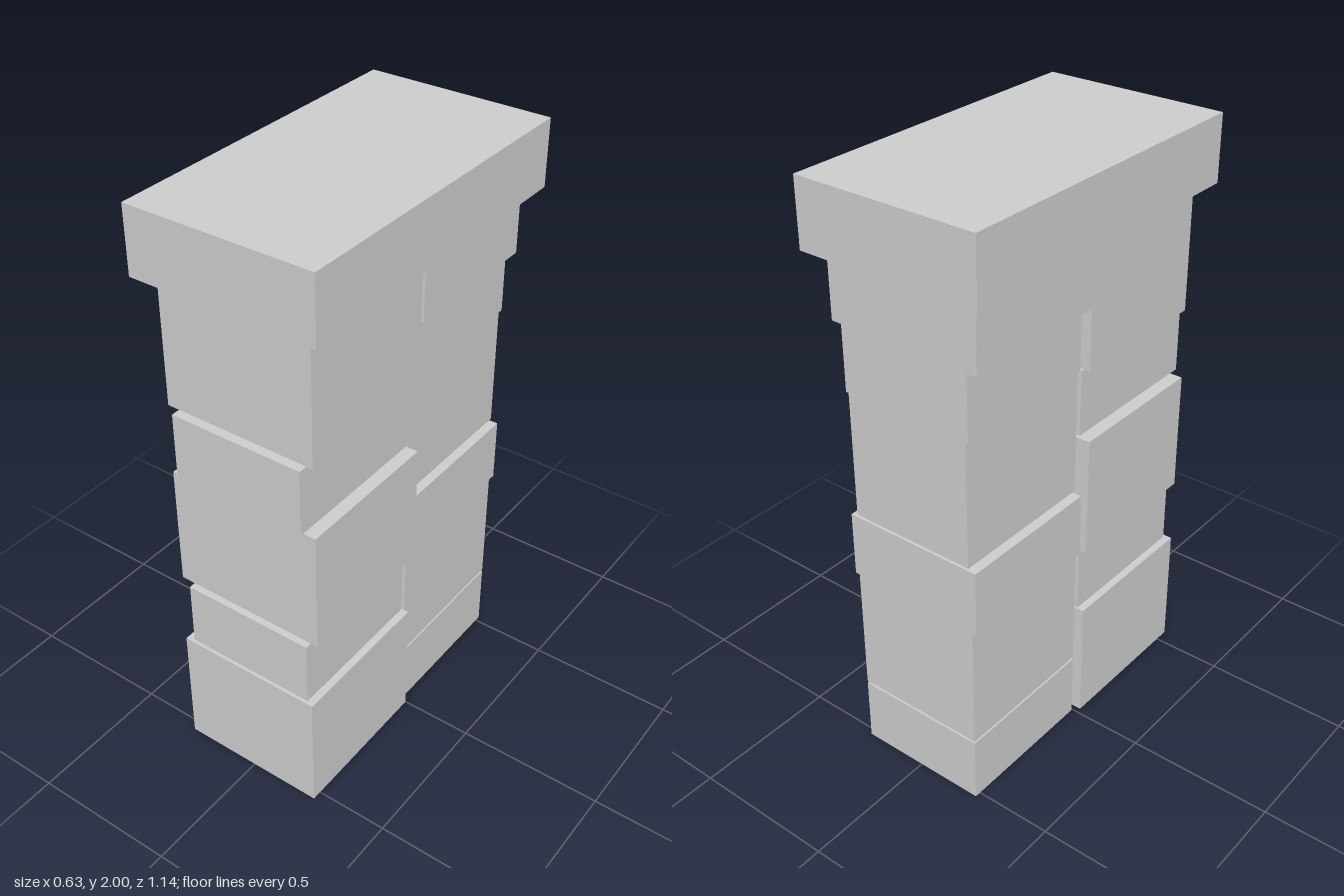
import * as THREE from 'three';

const material = new THREE.MeshStandardMaterial({ color: 0xcccccc, flatShading: true });

// Box given by its extents on each axis
function block(name, [x0, x1], [y0, y1], [z0, z1]) {
  const mesh = new THREE.Mesh(new THREE.BoxGeometry(x1 - x0, y1 - y0, z1 - z0), material);
  mesh.name = name;
  mesh.position.set((x0 + x1) / 2, (y0 + y1) / 2, (z0 + z1) / 2);
  return mesh;
}

// One column of stones, listed from the ground up as [x range, y range, z range]
function column(name, stones) {
  const group = new THREE.Group();
  group.name = name;
  stones.forEach((s, i) => group.add(block(`${name}Stone${i + 1}`, ...s)));
  return group;
}

export function createModel() {
  const model = new THREE.Group();
  model.name = 'stonePillar';

  // Front column: alternating wide and narrow stones with thin joints
  model.add(column('front', [
    [[-0.26, 0.255], [0.01, 0.44], [0.01, 0.54]],
    [[-0.234, 0.229], [0.44, 0.669], [0.015, 0.529]],
    [[-0.27, 0.265], [0.686, 1.105], [0.003, 0.52]],
    [[-0.234, 0.229], [1.115, 1.34], [0.003, 0.54]],
    [[-0.265, 0.26], [1.35, 1.77], [0.003, 0.52]],
  ]));

  // Back column: joints staggered against the front ones
  const z = [-0.521, -0.004];
  model.add(column('back', [
    [[-0.234, 0.229], [0, 0.23], z],
    [[-0.234, 0.229], [0.238, 0.678], z],
    [[-0.25, 0.245], [0.678, 0.902], z],
    [[-0.224, 0.219], [0.911, 1.34], z],
    [[-0.234, 0.229], [1.34, 1.56], z],
    [[-0.27, 0.265], [1.56, 1.777], z],
  ]));

  // Overhanging cap slab
  model.add(block('capSlab', [-0.318, 0.317], [1.778, 2], [-0.571, 0.571]));

  return model;
}
